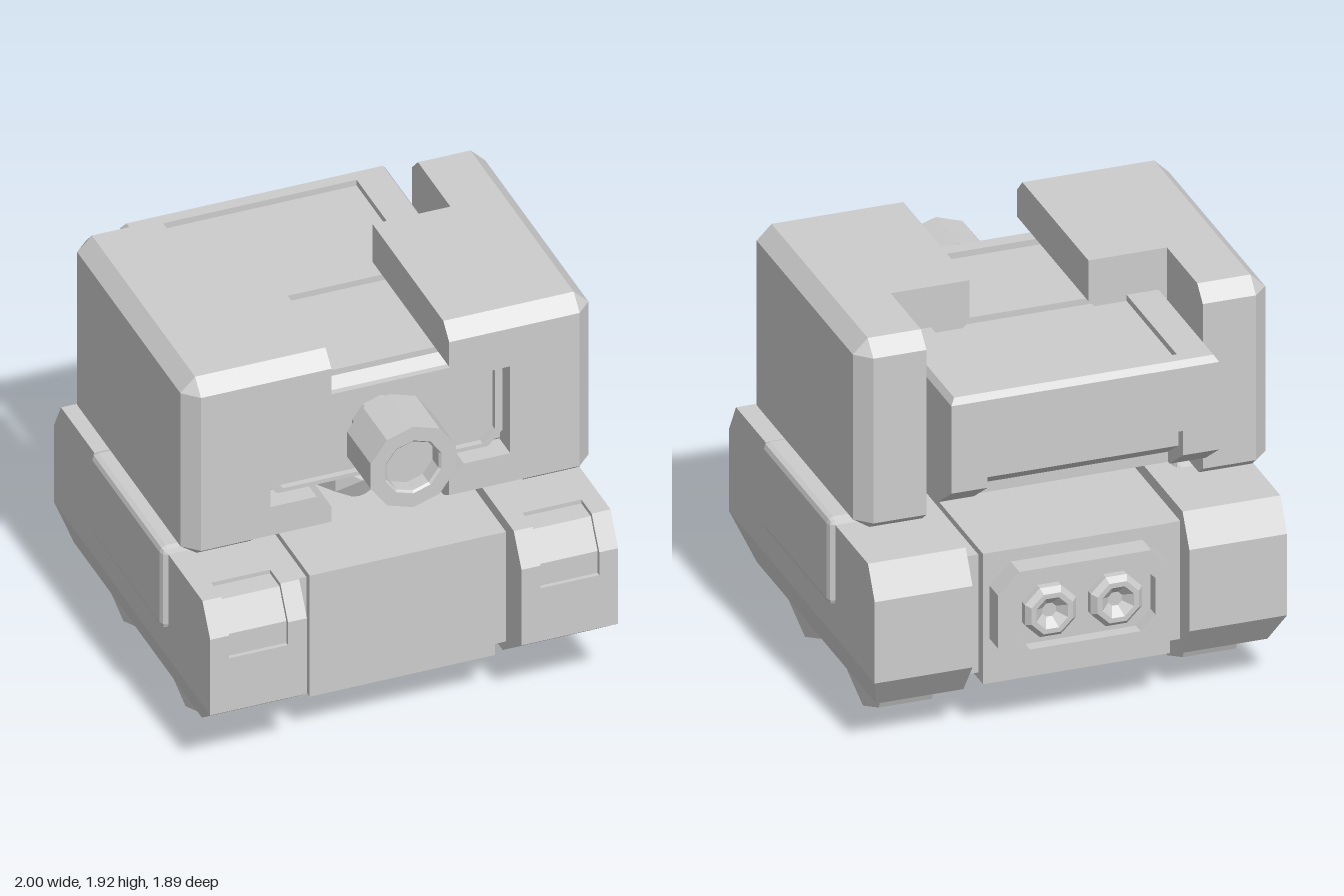
import * as THREE from 'three';
import { RoundedBoxGeometry } from 'three/addons/geometries/RoundedBoxGeometry.js';

const grey = new THREE.MeshStandardMaterial({ color: 0xcccccc, flatShading: true });

function add(parent, name, geo, x = 0, y = 0, z = 0) {
  const mesh = new THREE.Mesh(geo, grey);
  mesh.name = name;
  mesh.position.set(x, y, z);
  parent.add(mesh);
  return mesh;
}

// side profile of [z, y] points, extruded from x0 to x1
function extrudeX(pts, x0, x1, steps = 1) {
  const shape = new THREE.Shape(pts.map(([z, y]) => new THREE.Vector2(-z, y)));
  return new THREE.ExtrudeGeometry(shape, { depth: x1 - x0, steps, bevelEnabled: false })
    .rotateY(Math.PI / 2).translate(x0, 0, 0);
}

// front profile of [x, y] points, extruded from z0 to z1, with an optional hole
function extrudeZ(pts, z0, z1, hole, steps = 1) {
  const v = (list) => list.map(([x, y]) => new THREE.Vector2(x, y));
  const shape = new THREE.Shape(v(pts));
  if (hole) shape.holes.push(new THREE.Path(v(hole)));
  return new THREE.ExtrudeGeometry(shape, { depth: z1 - z0, steps, bevelEnabled: false }).translate(0, 0, z0);
}

// move every vertex by a rule
function reshape(geo, rule) {
  const p = geo.attributes.position;
  const v = new THREE.Vector3();
  for (let i = 0; i < p.count; i++) {
    rule(v.fromBufferAttribute(p, i));
    p.setXYZ(i, v.x, v.y, v.z);
  }
  geo.computeVertexNormals();
  return geo;
}

// rectangle with cut corners
function octagon(w, y0, y1, c) {
  return [[-w + c, y0], [w - c, y0], [w, y0 + c], [w, y1 - c], [w - c, y1], [-w + c, y1], [-w, y1 - c], [-w, y0 + c]];
}

// lathe of [radius, along] points, axis turned to +z
const latheZ = (pts, sides) =>
  new THREE.LatheGeometry(pts.map(([r, h]) => new THREE.Vector2(r, h)), sides).rotateX(Math.PI / 2);

function trackPod() {
  const pod = new THREE.Group();
  const back = [[-0.8, 0.91], [-0.885, 0.76], [-0.885, 0.36]];
  const low = [[-0.77, 0.2], [0.73, 0.2], [0.95, 0.36]];
  add(pod, 'podInner', extrudeX([[0.95, 0.76], [0.86, 0.91], ...back, ...low], 0.51, 0.6));
  // middle strip carries the sunken front panel
  add(pod, 'podMiddle', extrudeX([[0.95, 0.64], [0.93, 0.64], [0.93, 0.755], [0.85, 0.89],
    [0.74, 0.89], [0.74, 0.91], ...back, ...low], 0.6, 0.88));
  add(pod, 'podOuter', extrudeX([[0.95, 0.76], [0.86, 0.91], ...back, [0.95, 0.36]], 0.88, 0.97));
  // lower outer edge leans inward
  add(pod, 'podSkirt', reshape(extrudeX([[-0.885, 0.36], ...low], 0.88, 0.97), (v) => {
    if (v.x > 0.96 && v.y < 0.3) v.x = 0.92;
  }));
  add(pod, 'sidePanel', new RoundedBoxGeometry(0.37, 0.43, 0.85, 1, 0.03), 0.815, 0.725, 0.035);
  // eight-sided wheels with sunken hubs
  const wheel = latheZ([[0, -0.1], [0.16, -0.1], [0.19, -0.125], [0.28, -0.125],
    [0.28, 0.125], [0.19, 0.125], [0.16, 0.1], [0, 0.1]], 8).rotateY(Math.PI / 2);
  for (const z of [0.34, -0.39]) add(pod, 'wheel', wheel, 0.715, 0.28, z);
  return pod;
}

function headShell() {
  const shell = new THREE.Group();
  // outer slab, chamfered toward its outside face
  const side = [[0.67, 1.85], [0.6, 1.92], [-0.61, 1.92], [-0.68, 1.85],
    [-0.68, 1.04], [-0.63, 1.0], [0.62, 1.0], [0.67, 1.04]];
  add(shell, 'shellSide', reshape(extrudeX(side, 0.65, 0.97, 2), (v) => {
    if (v.x > 0.95) {
      v.y = THREE.MathUtils.clamp(v.y, 1.04, 1.85);
      v.z = THREE.MathUtils.clamp(v.z, -0.61, 0.6);
    } else if (v.x > 0.7) v.x = 0.9;
  }));
  // C-shaped front with arms reaching toward the middle
  const c = [[0.65, 1.0], [0.65, 1.92], [0.28, 1.92], [0.28, 1.72], [0.35, 1.65], [0.57, 1.65],
    [0.57, 1.19], [0.35, 1.19], [0.28, 1.12], [0.28, 1.0]];
  add(shell, 'shellArms', reshape(extrudeZ(c, -0.23, 0.67, null, 2), (v) => {
    if (v.z > 0.6) v.y = THREE.MathUtils.clamp(v.y, 1.04, 1.85);
    else if (v.z > 0) v.z = 0.6;
  }));
  return shell;
}

export function createModel() {
  const model = new THREE.Group();
  model.name = 'trackedRobot';

  // mirrored pairs
  for (const s of [1, -1]) {
    for (const [name, build] of [['trackPod', trackPod], ['headShell', headShell]]) {
      const part = build();
      part.name = s > 0 ? name + 'Left' : name + 'Right';
      part.scale.x = s;
      model.add(part);
    }
  }

  // chassis between the pods
  add(model, 'chassis', new THREE.BoxGeometry(0.88, 0.64, 1.64), 0, 0.56, -0.01);
  add(model, 'axleBlock', new THREE.BoxGeometry(1.04, 0.58, 1.54), 0, 0.56, 0);

  // rear plate with two exhausts
  const rear = new THREE.Group();
  rear.name = 'rearPlate';
  model.add(rear);
  add(rear, 'plateRim', extrudeZ(octagon(0.41, 0.36, 0.82, 0.1), -0.94, -0.82, octagon(0.33, 0.43, 0.75, 0.07)));
  add(rear, 'plateFloor', new THREE.BoxGeometry(0.68, 0.34, 0.04), 0, 0.59, -0.86);
  const exhaust = latheZ([[0.13, 0], [0.13, 0.035], [0.105, 0.06], [0.08, 0.06], [0.035, 0.02], [0, 0.02]].reverse(), 8)
    .rotateZ(Math.PI / 8).rotateY(Math.PI);
  for (const x of [-0.155, 0.155]) {
    const m = add(rear, 'exhaust', exhaust, x, 0.59, -0.88);
    m.material = grey.clone();
    m.material.side = THREE.DoubleSide;
  }

  // neck ball
  add(model, 'neck', new THREE.SphereGeometry(0.18, 6, 4).rotateX(Math.PI / 2).rotateZ(Math.PI / 6 * 3), 0, 0.99, 0.17);

  // head core: two cheeks and a middle with the rear slot
  const front = [[0.5, 1.14], [0.55, 1.2], [0.55, 1.65], [0.5, 1.69]];
  const cheek = [...front, [-0.94, 1.69], [-0.94, 1.26], [-0.77, 1.14]];
  const slot = [...front, [-0.94, 1.69], [-0.94, 1.38], [-0.88, 1.36], [-0.88, 1.28], [-0.75, 1.19], [-0.75, 1.14]];
  add(model, 'headMiddle', extrudeX(slot, -0.46, 0.46));
  add(model, 'headCheekLeft', extrudeX(cheek, 0.46, 0.63));
  add(model, 'headCheekRight', extrudeX(cheek, -0.63, -0.46));

  // raised bars framing the two top panels, edges leaning in
  const bars = [[0, 1.26, -0.94, -0.86], [0, 1.26, -0.2, -0.12], [0, 1.26, 0.43, 0.5],
    [-0.545, 0.17, -0.94, 0.5], [0.545, 0.17, -0.94, 0.5]];
  for (const [x, w, z0, z1] of bars) {
    const geo = new THREE.BoxGeometry(w, 0.03, z1 - z0).toNonIndexed().translate(x, 1.705, (z0 + z1) / 2);
    add(model, 'topFrame', reshape(geo, (v) => {
      if (v.y > 1.71) {
        v.x = THREE.MathUtils.clamp(v.x, -0.61, 0.61);
        v.z = Math.max(v.z, -0.92);
      }
    }));
  }

  // face plate rim
  add(model, 'faceRim', extrudeZ(octagon(0.57, 1.19, 1.65, 0.07), 0.5, 0.58, octagon(0.535, 1.21, 1.64, 0.06)));

  // eye barrel with a bored lens
  add(model, 'eyeBarrel', latheZ([[0.14, 0.5], [0.14, 0.66], [0.213, 0.66], [0.213, 0.94],
    [0.14, 0.94], [0.13, 0.93], [0.13, 0.86], [0, 0.86]], 10).rotateZ(Math.PI), 0, 1.427, 0)
    .material = new THREE.MeshStandardMaterial({ color: 0xcccccc, flatShading: true, side: THREE.DoubleSide });

  return model;
}
